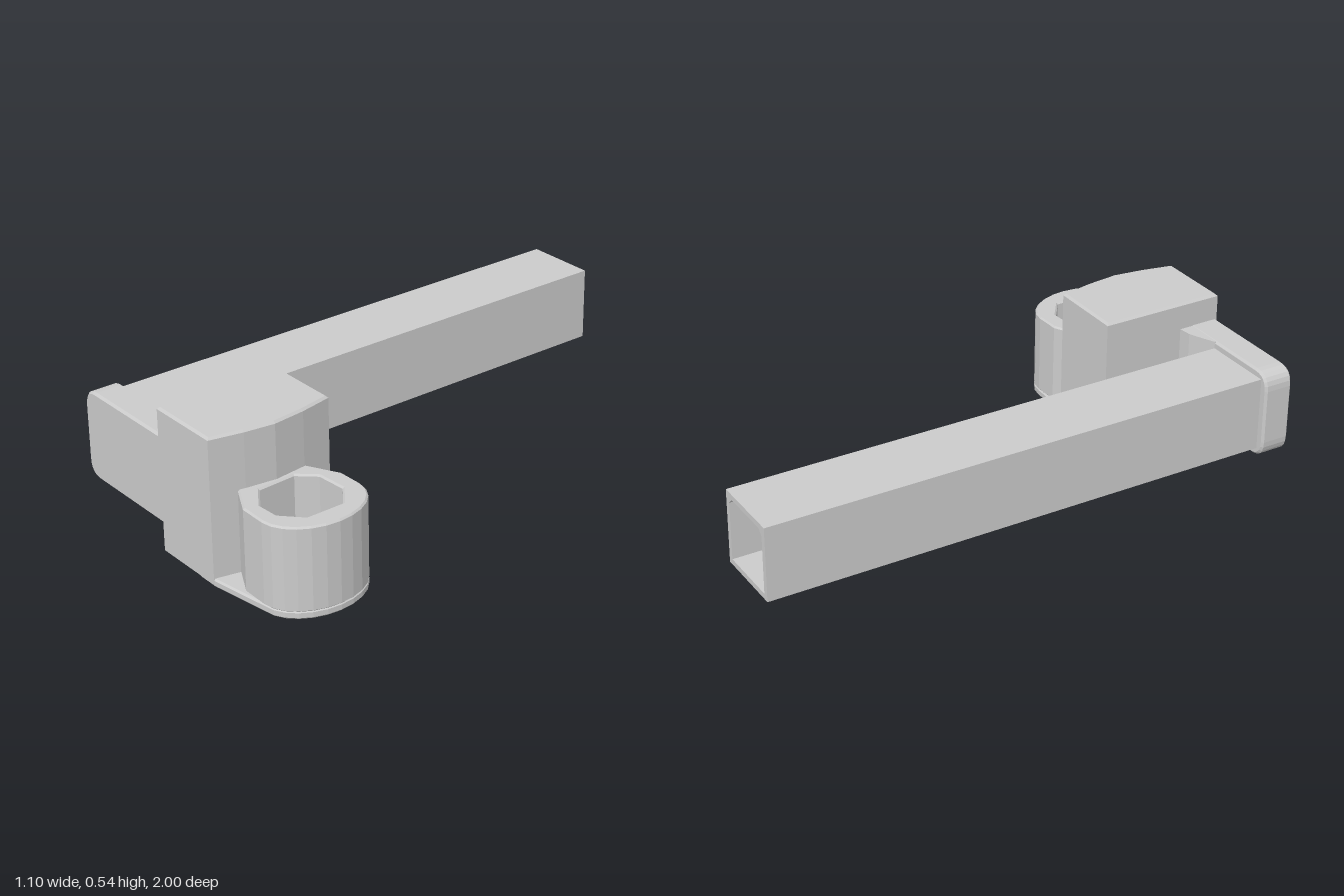
import * as THREE from 'three';

const material = new THREE.MeshStandardMaterial({ color: 0xcccccc, flatShading: true });

// Closed outline from corner points
const outline = (points, Type = THREE.Shape) =>
  new Type(points.map(([x, y]) => new THREE.Vector2(x, y)));

// Extrude between two depths; the bevel stays inside the outline
function extrude(shape, from, to, bevel = 0) {
  const geometry = new THREE.ExtrudeGeometry(shape, {
    depth: to - from - 2 * bevel,
    bevelEnabled: bevel > 0,
    bevelSize: bevel,
    bevelThickness: bevel,
    bevelOffset: -bevel,
    bevelSegments: 1,
    curveSegments: 6,
  });
  return geometry.translate(0, 0, from + bevel);
}

// Extrude a plan outline (x, z) upwards from y0 to y1
function extrudePlan(shape, y0, y1, bevel = 0) {
  return extrude(shape, -y1, -y0, bevel).rotateX(Math.PI / 2);
}

export function createModel() {
  const model = new THREE.Group();
  const add = (name, geometry) => {
    const mesh = new THREE.Mesh(geometry, material);
    mesh.name = name;
    model.add(mesh);
  };

  // Hollow square arm, open at the back
  const arm = outline([[-0.52, 0.14], [-0.25, 0.14], [-0.25, 0.41], [-0.52, 0.41]]);
  arm.holes.push(outline(
    [[-0.5, 0.16], [-0.5, 0.37], [-0.48, 0.39], [-0.29, 0.39], [-0.27, 0.37], [-0.27, 0.16]], THREE.Path));
  add('squareArm', extrude(arm, -1, 0.9));

  // Front plate with rounded outer corners
  const plate = new THREE.Shape();
  const [l, r, b, t, c] = [-0.55, -0.09, 0.108, 0.437, 0.065];
  plate.moveTo(r, b);
  plate.lineTo(r, t);
  plate.lineTo(l + c, t);
  plate.quadraticCurveTo(l, t, l, t - c);
  plate.lineTo(l, b + c);
  plate.quadraticCurveTo(l, b, l + c, b);
  add('frontPlate', extrude(plate, 0.89, 1, 0.008));

  // Sloping web joining the plate to the block
  add('plateWeb', extrudePlan(outline(
    [[-0.25, 0.89], [-0.2, 0.867], [-0.155, 0.848], [-0.1, 0.842], [-0.1, 0.96], [-0.25, 0.96]]), 0.11, 0.435));

  // Main block with its bowed side facing the ring
  add('block', extrudePlan(outline(
    [[-0.108, 0.53], [0.175, 0.53], [0.2, 0.65], [0.214, 0.77], [0.2, 0.88], [0.175, 1], [-0.108, 1]]),
  0, 0.535, 0.008));

  // Rounded end shared by the ring and its base
  const zc = 0.772;
  const roundEnd = Array.from({ length: 13 }, (_, i) => {
    const a = (i / 12 - 0.5) * Math.PI;
    return [0.4 + 0.148 * Math.cos(a), zc + 0.193 * Math.sin(a)];
  });
  const bore = outline([[0.225, 0.71], [0.28, 0.65], [0.39, 0.642], [0.468, 0.7],
    [0.468, 0.842], [0.4, 0.905], [0.32, 0.91], [0.232, 0.85]], THREE.Path);

  // Faceted ring
  const ring = outline([[0.18, 0.65], [0.31, 0.582], ...roundEnd, [0.3, 0.963], [0.18, 0.9]]);
  ring.holes.push(bore);
  add('ring', extrudePlan(ring, 0.025, 0.33, 0.006));

  // Thin base blending the block into the ring
  const base = outline([[0.1, 0.53], [0.18, 0.53], [0.31, 0.575], ...roundEnd, [0.18, 1], [0.1, 1]]);
  base.holes.push(outline(
    [[0.24, 0.84], [0.295, 0.65], [0.39, 0.65], [0.468, 0.7], [0.468, 0.84]], THREE.Path));
  add('ringBase', extrudePlan(base, 0, 0.03, 0.006));

  return model;
}
